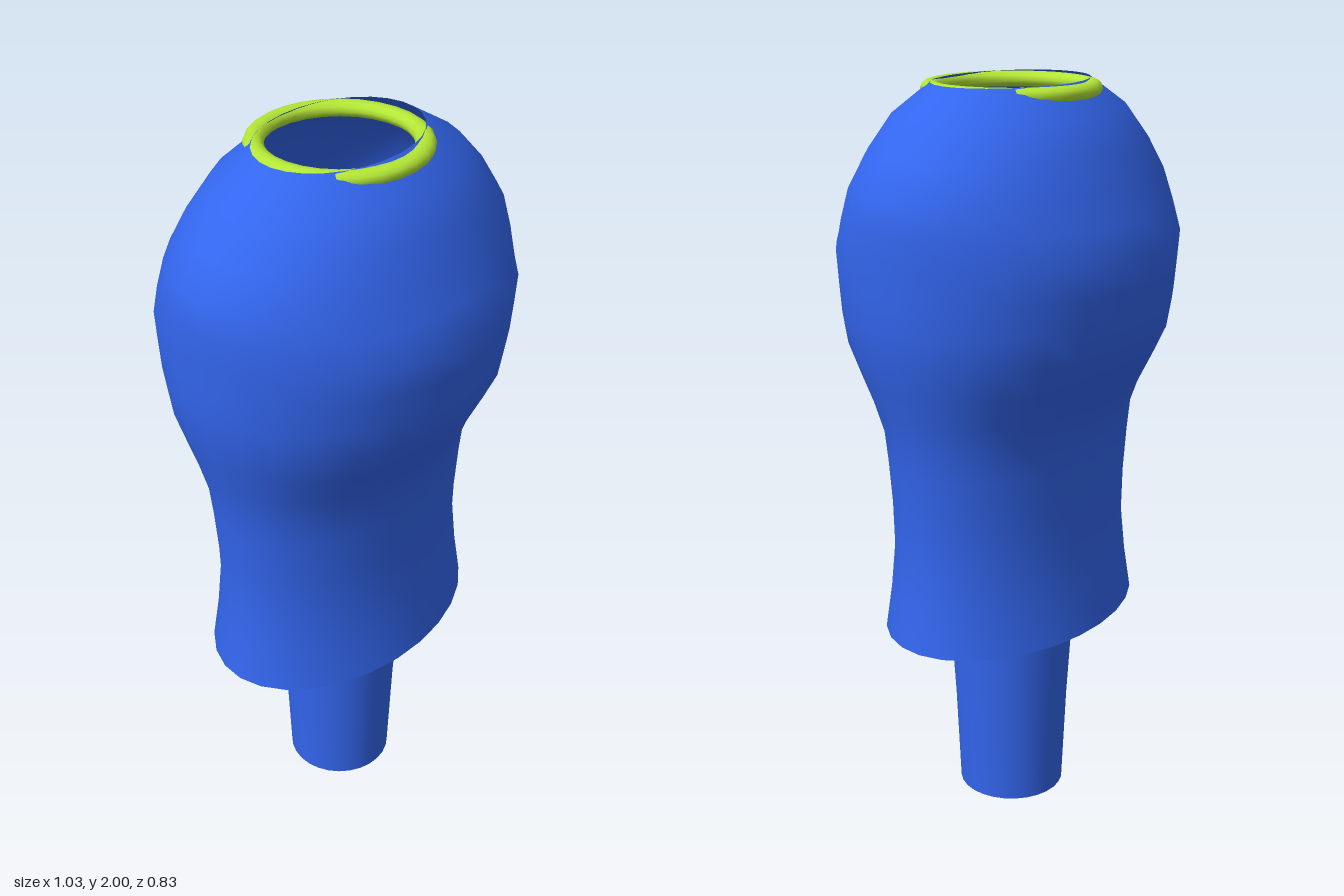
import * as THREE from 'three';

const SEGMENTS = 28;

// Smooth open skin through elliptical rings given as [y, radiusX, radiusZ]
function loft(rings) {
  const positions = [], uvs = [], index = [];
  const row = SEGMENTS + 1;
  rings.forEach(([y, rx, rz], j) => {
    for (let i = 0; i <= SEGMENTS; i++) {
      const a = ((i % SEGMENTS) / SEGMENTS) * Math.PI * 2;
      positions.push(Math.sin(a) * rx, y, Math.cos(a) * rz);
      uvs.push(i / SEGMENTS, j / (rings.length - 1));
      if (j > 0 && i < SEGMENTS) {
        const a0 = (j - 1) * row + i, b0 = j * row + i;
        index.push(a0, a0 + 1, b0, a0 + 1, b0 + 1, b0);
      }
    }
  });
  const geometry = new THREE.BufferGeometry();
  geometry.setAttribute('position', new THREE.Float32BufferAttribute(positions, 3));
  geometry.setAttribute('uv', new THREE.Float32BufferAttribute(uvs, 2));
  geometry.setIndex(index);
  geometry.computeVertexNormals();
  // Average the normals across the seam
  const n = geometry.attributes.normal;
  for (let j = 0; j < rings.length; j++) {
    const p = j * row, q = p + SEGMENTS;
    const v = new THREE.Vector3().fromBufferAttribute(n, p)
      .add(new THREE.Vector3().fromBufferAttribute(n, q)).normalize();
    n.setXYZ(p, v.x, v.y, v.z);
    n.setXYZ(q, v.x, v.y, v.z);
  }
  return geometry;
}

export function createModel() {
  const model = new THREE.Group();
  const blue = new THREE.MeshStandardMaterial({ color: 0x3366ee, side: THREE.DoubleSide });
  const lime = new THREE.MeshStandardMaterial({ color: 0xb4e636 });

  const add = (name, geometry, material) => {
    const mesh = new THREE.Mesh(geometry, material);
    mesh.name = name;
    model.add(mesh);
    return mesh;
  };

  // Torso shell, open at the waist and the neck
  add('torso', loft([
    [0.56, 0.43, 0.293],
    [0.68, 0.413, 0.274],
    [0.80, 0.402, 0.262],
    [0.92, 0.407, 0.263],
    [1.04, 0.418, 0.27],
    [1.12, 0.428, 0.277],
    [1.20, 0.448, 0.308],
    [1.28, 0.47, 0.35],
    [1.36, 0.492, 0.389],
    [1.44, 0.504, 0.402],
    [1.52, 0.508, 0.41],
    [1.60, 0.511, 0.417],
    [1.68, 0.514, 0.383],
    [1.76, 0.506, 0.348],
    [1.84, 0.452, 0.312],
    [1.925, 0.37, 0.264],
    [2.00, 0.247, 0.18],
  ]), blue);

  // Tapered post inside the torso, with a domed top
  const profile = [[0.147, 0], [0.159, 0.28], [0.176, 0.56], [0.19, 0.8], [0.2, 1.05]]
    .map(([r, y]) => new THREE.Vector2(r, y));
  for (let i = 1; i <= 8; i++) {
    const a = (i / 8) * Math.PI / 2;
    profile.push(new THREE.Vector2(i === 8 ? 0 : 0.2 * Math.cos(a), 1.05 + 0.2 * Math.sin(a)));
  }
  add('post', new THREE.LatheGeometry(profile, SEGMENTS), blue);

  // Collar ring around the neck opening
  const ring = new THREE.TorusGeometry(0.206, 0.026, 12, SEGMENTS);
  ring.rotateX(Math.PI / 2).scale(1, 0.8, 1);
  add('collar', ring, lime).position.y = 1.979;

  return model;
}
